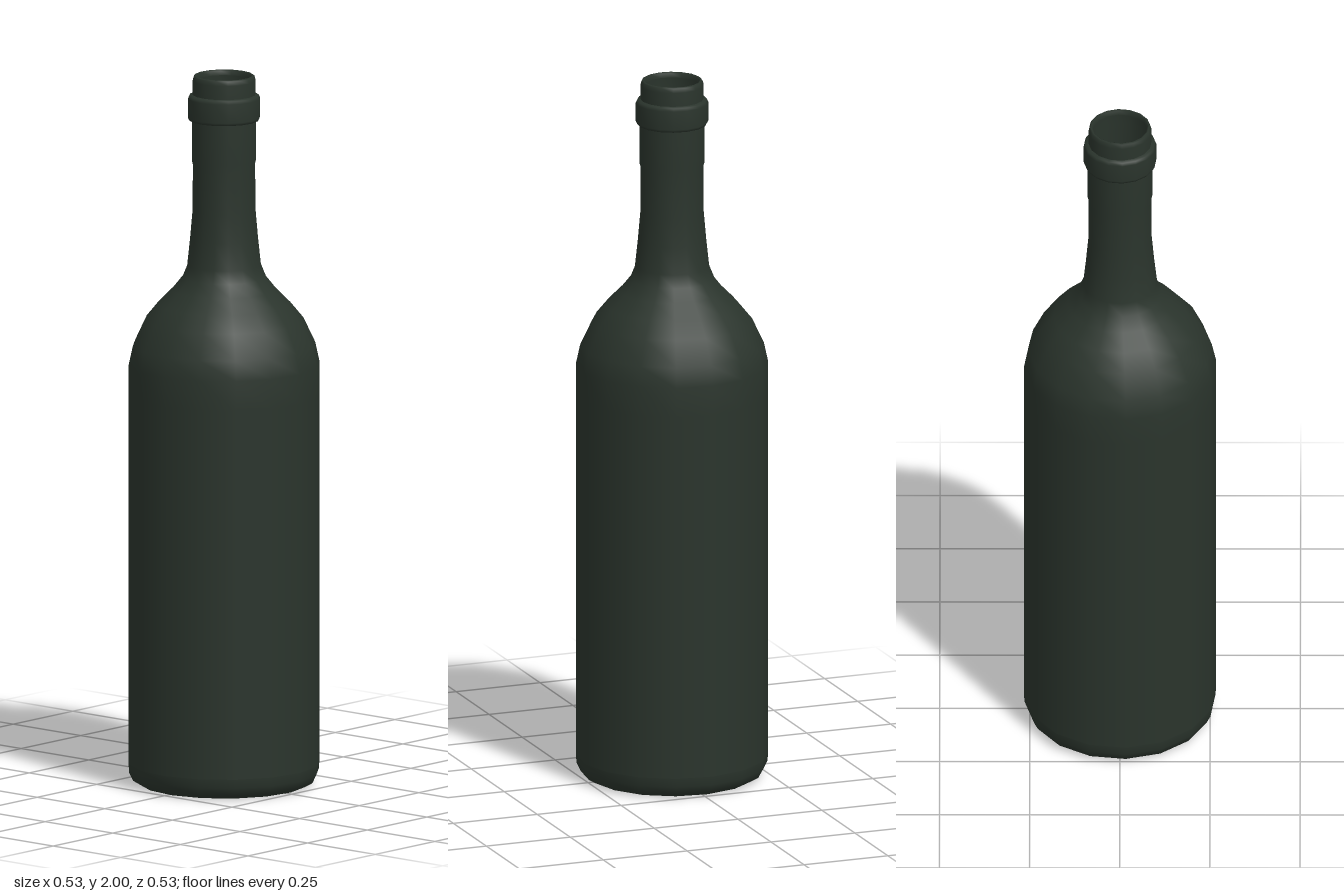
import * as THREE from 'three';

const SIDES = 16;
const TURN = 0.063; // slight twist of the facets about the axis

export function createModel() {
  const group = new THREE.Group();
  group.name = 'bottle';
  const glass = new THREE.MeshStandardMaterial({ color: 0x2a342c, side: THREE.DoubleSide });

  const addTurned = (name, profile) => {
    const points = profile.map(([r, y]) => new THREE.Vector2(r, y));
    const mesh = new THREE.Mesh(new THREE.LatheGeometry(points, SIDES, TURN), glass);
    mesh.name = name;
    group.add(mesh);
  };

  // Flat base with a small rounded heel
  addTurned('base', [[0, 0], [0.225, 0], [0.235, 0.001], [0.254, 0.012], [0.265, 0.035], [0.267, 0.06]]);

  // Straight body, sloping shoulder and tapering neck
  addTurned('body', [
    [0.267, 0.06], [0.267, 1.1], [0.267, 1.185], [0.255, 1.24], [0.222, 1.31],
    [0.185, 1.355], [0.145, 1.395], [0.117, 1.43], [0.103, 1.465],
    [0.095, 1.54], [0.088, 1.62], [0.087, 1.75], [0.09, 1.76], [0.09, 1.88],
  ]);

  // Raised collar below the mouth
  addTurned('collar', [[0.088, 1.873], [0.097, 1.874], [0.101, 1.882], [0.101, 1.935], [0.097, 1.943], [0.088, 1.946]]);

  // Open mouth with a rolled lip
  addTurned('lip', [[0.09, 1.88], [0.088, 1.946], [0.088, 1.985], [0.085, 1.997], [0.081, 2], [0.076, 1.997], [0.075, 1.985]]);

  return group;
}
